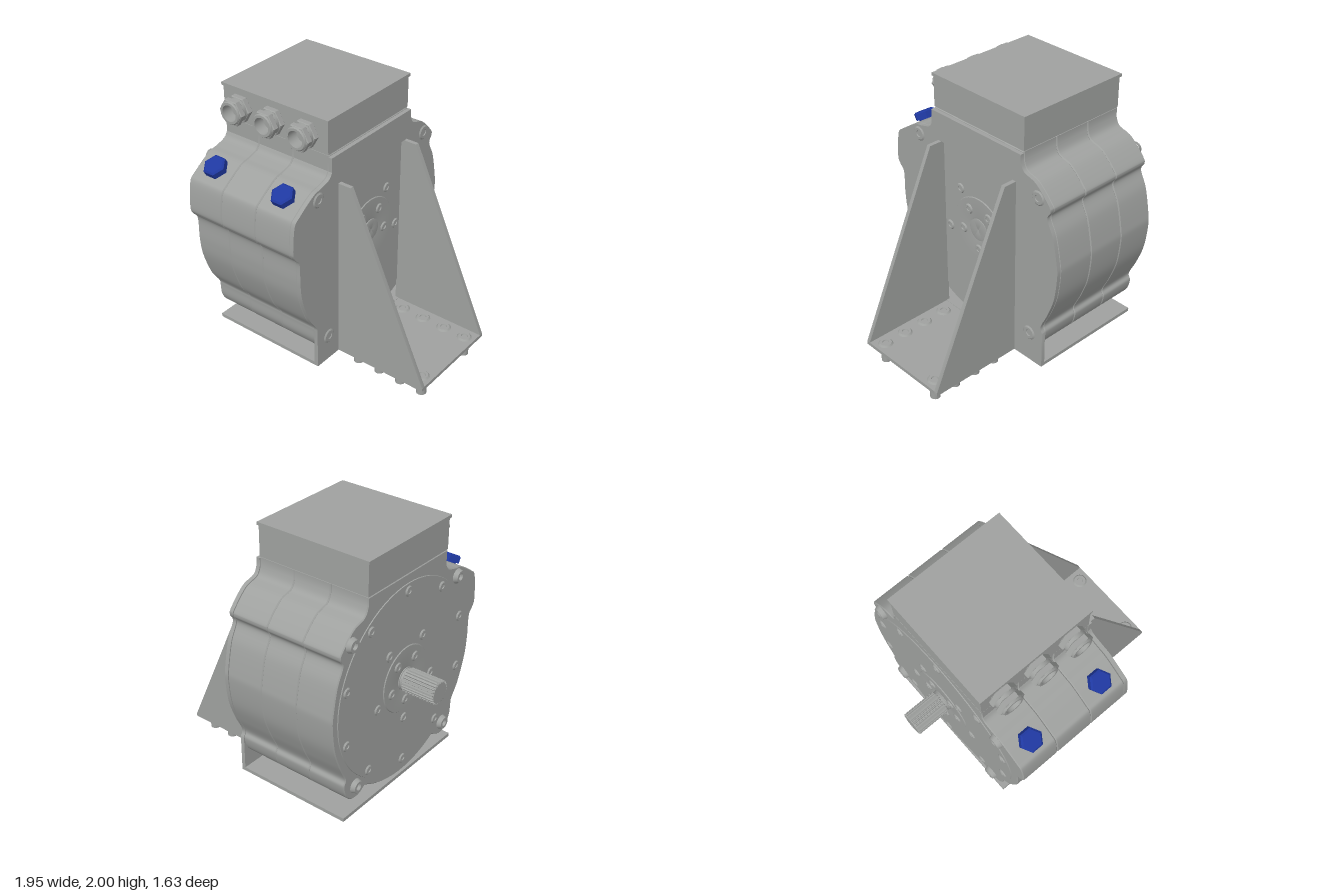
import * as THREE from 'three';
import { toCreasedNormals } from 'three/addons/utils/BufferGeometryUtils.js';

const grey = new THREE.MeshStandardMaterial({ color: 0x9fa19f });
grey.name = 'metal grey';
const blue = new THREE.MeshStandardMaterial({ color: 0x1f38a0 });
blue.name = 'plug blue';

const CU = 0.03, CY = 0.95; // motor axis, in profile coordinates (u = -z, y)
const v = (a) => a.map(([x, y]) => new THREE.Vector2(x, y));

// Casing flanks, left side going down and right side going up
const leftSide = [[-0.45, 1.59], [-0.53, 1.565], [-0.61, 1.545], [-0.75, 1.455], [-0.80, 1.40], [-0.82, 1.21],
  [-0.80, 1.15], [-0.76, 1.09], [-0.757, 0.92], [-0.737, 0.77], [-0.67, 0.58], [-0.60, 0.47], [-0.59, 0.43]];
const leftFoot = [[-0.58, 0.33], [-0.53, 0.25], [-0.46, 0.22], [-0.35, 0.268]];
const rightFoot = [[0.52, 0.255], [0.60, 0.26], [0.66, 0.32], [0.685, 0.41]];
const rightSide = [[0.67, 0.467], [0.73, 0.60], [0.785, 0.76], [0.808, 0.95], [0.80, 1.05], [0.76, 1.236],
  [0.705, 1.36], [0.73, 1.42], [0.716, 1.465], [0.60, 1.58], [0.49, 1.62], [0.456, 1.68]];

export function createModel() {
  const root = new THREE.Group();
  root.name = 'motorOnBracket';

  const add = (name, geo, x = 0, y = 0, z = 0, mat = grey, parent = root) => {
    const m = new THREE.Mesh(toCreasedNormals(geo, 0.5), mat);
    m.name = name;
    m.position.set(x, y, z);
    parent.add(m);
    return m;
  };
  const box = (name, x0, x1, y0, y1, z0, z1) =>
    add(name, new THREE.BoxGeometry(x1 - x0, y1 - y0, z1 - z0), (x0 + x1) / 2, (y0 + y1) / 2, (z0 + z1) / 2);
  // Extrude a (u, y) profile along x, edges eased inward by b
  const slab = (name, shape, x0, x1, b) => {
    const geo = new THREE.ExtrudeGeometry(shape, {
      depth: x1 - x0 - 2 * b, bevelEnabled: b > 0, bevelThickness: b, bevelSize: b,
      bevelOffset: -b, bevelSegments: 1, curveSegments: 6,
    });
    geo.translate(0, 0, b).rotateY(Math.PI / 2);
    return add(name, geo, x0, 0, 0);
  };
  const lathe = (pts, seg = 24) => new THREE.LatheGeometry(v(pts), seg);
  // Round head with a socket; dir is '+x', '-x' or '+y'
  const screw = (name, r, h, dir, x, y, z) => {
    const geo = lathe([[r, 0], [r * 0.8, h], [r * 0.45, h], [r * 0.4, h * 0.3], [0, h * 0.3]], 18);
    if (dir === '+x') geo.rotateZ(-Math.PI / 2);
    if (dir === '-x') geo.rotateZ(Math.PI / 2);
    add(name, geo, x, y, z);
  };

  // Casing in three slices
  const casing = new THREE.Shape();
  casing.moveTo(0.456, 1.745);
  casing.lineTo(-0.42, 1.745);
  casing.lineTo(-0.42, 1.63);
  casing.splineThru(v([...leftSide, ...leftFoot]));
  casing.absarc(CU, CY, 0.78, Math.atan2(-0.682, -0.38), Math.atan2(-0.657, 0.42), false);
  casing.splineThru(v([...rightFoot, ...rightSide]));
  for (let i = 0; i < 3; i++) slab('casingSlice', casing, -0.69 + i * 0.3, -0.39 + i * 0.3, 0.007);

  // Mounting plate with a window onto the end cap
  const plate = new THREE.Shape();
  plate.moveTo(0.456, 1.735);
  plate.lineTo(-0.42, 1.735);
  plate.lineTo(-0.42, 1.63);
  plate.splineThru(v(leftSide));
  plate.lineTo(-0.59, 0.12);
  plate.lineTo(0.685, 0.12);
  plate.lineTo(0.685, 0.41);
  plate.splineThru(v(rightSide));
  plate.holes.push(new THREE.Path(v([[-0.325, 0.15], [0.385, 0.15], [0.385, 1.52], [-0.325, 1.52]])));
  slab('mountingPlate', plate, 0.21, 0.24, 0);

  // Base plates and gussets
  box('motorBase', -0.69, 0.24, 0.12, 0.147, -0.685, 0.59);
  box('bracketBase', 0.24, 0.97, 0.12, 0.147, -0.415, 0.355);
  const gusset = new THREE.Shape(v([[0.24, 0.12], [0.97, 0.12], [0.97, 0.145], [0.34, 1.52], [0.24, 1.52]]));
  for (const z of [0.325, -0.415]) {
    add('gusset', new THREE.ExtrudeGeometry(gusset, { depth: 0.03, bevelEnabled: false }), 0, 0, z);
  }

  // Base bolts
  for (const x of [-0.5, -0.32, -0.135, 0.05, 0.34, 0.525, 0.71, 0.89]) {
    for (const z of [0.242, -0.298]) {
      add('baseBoltShank', new THREE.CylinderGeometry(0.037, 0.037, 0.125, 24), x, 0.0625, z);
      screw('baseBoltHead', 0.055, 0.012, '+y', x, 0.147, z);
    }
  }

  // End caps and their screws on both ends
  for (const s of [1, -1]) {
    const face = s > 0 ? 0.21 : -0.69;
    const dir = s > 0 ? '+x' : '-x';
    const cap = lathe([[0.73, -0.005], [0.725, 0.006], [0.25, 0.006], [0.245, 0.012], [0.1, 0.012],
      [0.085, 0.009], [0.085, 0.016], [0.075, 0.018], [0.012, 0.018], [0, 0.012]], 72);
    cap.rotateZ(-s * Math.PI / 2);
    add('endCap', cap, face, CY, -CU);
    for (const [r, n, size, off] of [[0.165, 5, 0.038, 0.012], [0.32, 5, 0.038, 0.006], [0.67, 10, 0.038, 0.006]]) {
      for (let i = 0; i < n; i++) {
        // the middle ring is turned half a step from the inner one only in radius
        const a = -Math.PI / 2 + (i / n) * Math.PI * 2;
        screw('capScrew', size, 0.01, dir, face + s * off, CY + r * Math.sin(a), -CU + r * Math.cos(a));
      }
    }
    // Corner bolts through the casing lobes
    for (const [z, y] of [[0.56, 1.49], [-0.62, 1.485], [-0.56, 0.355], [0.465, 0.32]]) {
      screw('cornerBolt', 0.055, s > 0 ? 0.008 : 0.032, dir, s > 0 ? 0.24 : -0.69, y, z);
    }
  }

  // Splined shaft
  const teeth = 24, spline = [];
  for (let i = 0; i < teeth; i++) {
    for (const [f, r] of [[0, 0.079], [0.3, 0.079], [0.45, 0.088], [0.85, 0.088]]) {
      const a = ((i + f) / teeth) * Math.PI * 2;
      spline.push([CU + r * Math.cos(a), CY + r * Math.sin(a)]);
    }
  }
  slab('splinedShaft', new THREE.Shape(v(spline)), -0.98, -0.72, 0.006);
  const collar = new THREE.CylinderGeometry(0.08, 0.08, 0.06, 32).rotateZ(Math.PI / 2);
  add('shaftCollar', collar, -0.70, CY, -CU);

  // Terminal box
  box('terminalBox', -0.69, 0.21, 1.748, 1.98, -0.455, 0.42);
  box('terminalLid', -0.70, 0.218, 1.978, 2.0, -0.465, 0.43);

  // Cable glands
  for (const x of [-0.53, -0.245, 0.04]) {
    const gland = new THREE.Group();
    gland.name = 'cableGland';
    gland.position.set(x, 1.86, 0.42);
    root.add(gland);
    const hex = new THREE.Shape();
    for (let i = 0; i < 6; i++) {
      const a = (i * Math.PI) / 3;
      hex[i ? 'lineTo' : 'moveTo'](0.1 * Math.cos(a), 0.1 * Math.sin(a));
    }
    const hole = new THREE.Path();
    hole.absarc(0, 0, 0.07, 0, Math.PI * 2, true);
    hex.holes.push(hole);
    const nut = { depth: 0.033, bevelThickness: 0.006, bevelSize: 0.006, bevelOffset: -0.006, bevelSegments: 1 };
    for (const z of [0.006, 0.074]) add('glandNut', new THREE.ExtrudeGeometry(hex, nut), 0, 0, z, grey, gland);
    const sleeve = lathe([[0.084, 0], [0.084, 0.116], [0.077, 0.125], [0.06, 0.125], [0.06, 0.04], [0, 0.04]]);
    add('glandSleeve', sleeve.rotateX(Math.PI / 2), 0, 0, 0, grey, gland);
  }

  // Blue hexagonal plugs on the sloped shoulder
  for (const x of [-0.53, 0.065]) {
    const plug = new THREE.Group();
    plug.name = 'ventPlug';
    plug.position.set(x, 1.53, 0.705);
    plug.rotation.x = Math.PI / 6;
    root.add(plug);
    const head = new THREE.CylinderGeometry(0.084, 0.084, 0.045, 6).rotateY(Math.PI / 6);
    add('plugHead', head, 0, -0.005, 0, blue, plug);
    const top = new THREE.CylinderGeometry(0.07, 0.084, 0.01, 6).rotateY(Math.PI / 6);
    add('plugChamfer', top, 0, 0.0225, 0, blue, plug);
    add('plugNeck', new THREE.CylinderGeometry(0.055, 0.055, 0.06, 24), 0, -0.05, 0, blue, plug);
  }

  return root;
}
